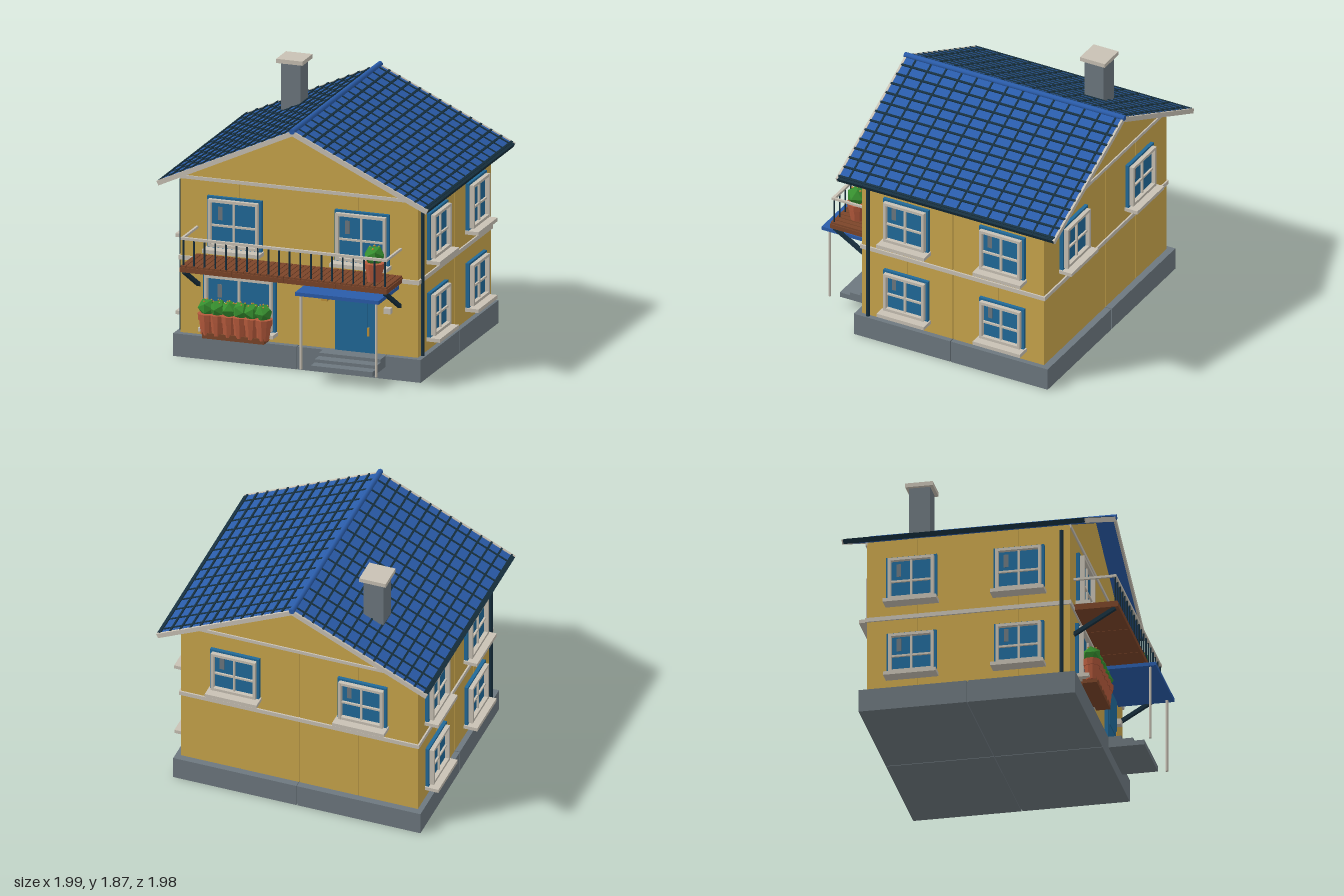
import * as THREE from 'three';

const mat = (name, color) => {
  const m = new THREE.MeshStandardMaterial({ color });
  m.name = name;
  return m;
};

export function createModel() {
  const WALL = mat('ochre wall', 0xcaa64c), TRIM = mat('pale trim', 0xc8c1b4), STONE = mat('grey stone', 0x6d787f);
  const ROOF = mat('roof blue', 0x2a5caa), BLUE = mat('window blue', 0x216a9a), DARK = mat('dark metal', 0x17303f);
  const WOOD = mat('brown wood', 0x7c4529), CLAY = mat('terracotta', 0xb65a3c), LEAF = mat('leaf green', 0x37902f);
  const GOLD = mat('brass yellow', 0xc0923a);

  const house = new THREE.Group();
  house.name = 'house';

  const add = (parent, name, geo, material, x = 0, y = 0, z = 0) => {
    const mesh = new THREE.Mesh(geo, material);
    mesh.name = name;
    mesh.position.set(x, y, z);
    parent.add(mesh);
    return mesh;
  };
  // box given by its lower and upper corner
  const box = (parent, name, material, x0, x1, y0, y1, z0, z1) =>
    add(parent, name, new THREE.BoxGeometry(x1 - x0, y1 - y0, z1 - z0), material, (x0 + x1) / 2, (y0 + y1) / 2, (z0 + z1) / 2);
  const group = (parent, name, x = 0, y = 0, z = 0) => {
    const g = new THREE.Group();
    g.name = name;
    g.position.set(x, y, z);
    parent.add(g);
    return g;
  };
  const faceted = (geo) => {
    const g = geo.index ? geo.toNonIndexed() : geo;
    g.computeVertexNormals();
    return g;
  };

  const W = 0.87, ZF = 0.59, ZB = -0.835, ZC = (ZF + ZB) / 2, D = (ZF - ZB) / 2;

  // Foundation: four blocks with narrow joints
  const base = group(house, 'foundation');
  for (const [x0, x1] of [[-0.908, -0.004], [0.004, 0.908]])
    for (const [z0, z1] of [[-0.885, -0.127], [-0.119, 0.635]])
      box(base, 'foundationBlock', STONE, x0, x1, 0, 0.163, z0, z1);
  box(base, 'foundationCore', STONE, -0.89, 0.89, 0.006, 0.157, -0.87, 0.62);

  // Wall core and gable
  const core = new THREE.Shape([[-0.862, 0.16], [0.862, 0.16], [0.862, 1.295], [0, 1.7], [-0.862, 1.295]].map(p => new THREE.Vector2(...p)));
  add(house, 'wallCore', new THREE.ExtrudeGeometry(core, { depth: 2 * D - 0.016, bevelEnabled: false }), WALL, 0, 0, ZB + 0.008);

  // Window: local x along the wall, z outwards
  const addWindow = (side, x, y0, y1, w) => {
    const g = group(side, 'window', x, (y0 + y1) / 2, 0);
    const h = y1 - y0, a = w / 2 - 0.017, b = h / 2 - 0.015, t = 0.02;
    box(g, 'windowCasing', BLUE, -w / 2, w / 2, -h / 2, h / 2, 0, 0.025);
    for (const s of [-1, 1]) {
      add(g, 'windowStile', new THREE.BoxGeometry(t, 2 * b, 0.032), TRIM, s * (a - t / 2), 0, 0.04);
      add(g, 'windowRail', new THREE.BoxGeometry(2 * a, t, 0.03), TRIM, 0, s * (b - t / 2), 0.04);
    }
    box(g, 'mullion', TRIM, -0.007, 0.007, -b, b, 0.024, 0.04);
    box(g, 'glazingBar', TRIM, -a, a, -0.025, -0.011, 0.024, 0.039);
    box(g, 'glassGlint', STONE, -w * 0.3, -w * 0.3 + 0.033, 0.02, 0.115, 0.024, 0.027);
    box(g, 'windowSill', TRIM, -w / 2 - 0.01, w / 2 + 0.01, -h / 2 - 0.022, -h / 2 + 0.004, 0, 0.1);
  };

  // Each side: panels with joints, storey bands and windows [x, bottom, top, width]
  const pair = (y0, y1, w, xs) => xs.map(x => [x, y0, y1, w]);
  const sideWindows = (s) => [...pair(0.81, 1.15, 0.355, [-0.36 * s, 0.393 * s]), ...pair(0.255, 0.577, 0.35, [-0.36 * s, 0.393 * s])];
  const sides = [
    ['frontWall', 0, ZF, 0, W, [...pair(0.8, 1.17, 0.4, [-0.4675, 0.4675]), [-0.43, 0.235, 0.625, 0.53]]],
    ['backWall', 0, ZB, Math.PI, W, pair(0.81, 1.15, 0.36, [-0.4675, 0.4675])],
    ['leftWall', W, ZC, Math.PI / 2, D, sideWindows(1)],
    ['rightWall', -W, ZC, -Math.PI / 2, D, sideWindows(-1)],
  ];
  for (const [name, x, z, turn, half, windows] of sides) {
    const side = group(house, name, x, 0, z);
    side.rotation.y = turn;
    for (let i = 0; i < 4; i++)
      for (const [y0, y1] of [[0.163, 0.7], [0.706, 1.285]]) {
        const x0 = -half + i * half / 2;
        box(side, 'wallPanel', WALL, x0 + (i ? 0.003 : 0), x0 + half / 2 - (i < 3 ? 0.003 : 0), y0, y1, -0.012, 0);
      }
    box(side, 'storeyBand', TRIM, -half - 0.01, half + 0.01, 0.687, 0.717, -0.01, 0.012);
    if (half === W) {
      box(side, 'gableBand', TRIM, -half, half, 1.27, 1.294, -0.01, 0.01);
      const gable = new THREE.Shape([new THREE.Vector2(-W, 1.29), new THREE.Vector2(W, 1.29), new THREE.Vector2(0, 1.7)]);
      add(side, 'gable', new THREE.ExtrudeGeometry(gable, { depth: 0.012, bevelEnabled: false }), WALL, 0, 0, -0.012);
    }
    windows.forEach(w => addWindow(side, ...w));
  }

  // Roof: two slopes with raised grid, barge boards and gutters
  const roof = group(house, 'roof');
  const angle = Math.atan(0.465), L = 1.09, zr0 = -0.975, zr1 = 0.72, zm = (zr0 + zr1) / 2, len = zr1 - zr0;
  for (const s of [-1, 1]) {
    const slope = group(roof, 'roofSlope', 0, 1.731, zm);
    slope.rotation.z = -s * angle;
    add(slope, 'roofSlab', new THREE.BoxGeometry(L, 0.026, len), ROOF, s * L / 2, -0.013, 0);
    for (let i = 1; i <= 13; i++)
      add(slope, 'tileRow', new THREE.BoxGeometry(0.015, 0.012, len), DARK, s * i * (L - 0.02) / 13, 0.002, 0);
    for (let i = 0; i < 14; i++)
      add(slope, 'tileColumn', new THREE.BoxGeometry(L, 0.009, 0.013), DARK, s * L / 2, 0.001, -0.927 - zm + i * 0.1205);
    for (const e of [-1, 1])
      add(slope, 'bargeBoard', new THREE.BoxGeometry(L + 0.008, 0.034, 0.016), TRIM, s * (L / 2 + 0.002), -0.013, e * (len / 2 + 0.002));
    add(slope, 'gutter', new THREE.BoxGeometry(0.022, 0.03, len), DARK, s * (L - 0.004), -0.012, 0);
  }
  const ridge = add(roof, 'ridgeCap', new THREE.CylinderGeometry(0.02, 0.02, len + 0.03, 10), ROOF, 0, 1.732, zm);
  ridge.rotation.x = Math.PI / 2;

  // Chimney
  box(house, 'chimney', STONE, -0.531, -0.386, 1.4, 1.838, -0.61, -0.462);
  box(house, 'chimneyCap', TRIM, -0.556, -0.362, 1.835, 1.865, -0.632, -0.438);

  // Downpipes
  for (const s of [-1, 1])
    add(house, 'downpipe', new THREE.CylinderGeometry(0.014, 0.014, 1.08, 8), DARK, s * 0.886, 0.705, 0.535);

  // Balcony: deck, planks, railing and braces
  const balcony = group(house, 'balcony');
  for (let i = 0; i < 4; i++)
    box(balcony, 'deckBeam', WOOD, -0.762 + i * 0.381 + 0.002, -0.381 + i * 0.381 - 0.002, 0.694, 0.727, 0.59, 0.905);
  for (let i = 0; i < 36; i++)
    box(balcony, 'deckPlank', WOOD, -0.756 + i * 0.042 + 0.003, -0.714 + i * 0.042 - 0.003, 0.725, 0.74, 0.59, 0.9);
  box(balcony, 'topRail', TRIM, -0.757, 0.757, 0.922, 0.94, 0.872, 0.892);
  for (let i = 0; i < 20; i++)
    add(balcony, 'baluster', new THREE.CylinderGeometry(0.0065, 0.0065, 0.19, 6), DARK, -0.74 + i * 1.48 / 19, 0.83, 0.882);
  for (const s of [-1, 1]) {
    add(balcony, 'sideRail', new THREE.BoxGeometry(0.016, 0.016, 0.29), TRIM, s * 0.747, 0.931, 0.737);
    const brace = add(balcony, 'brace', new THREE.BoxGeometry(0.026, 0.026, 0.34), DARK, s * 0.737, 0.606, 0.735);
    brace.rotation.x = -Math.atan2(0.17, 0.285);
  }

  // Potted plants: radius r, pot height h
  const addPlant = (parent, x, y, z, r, h, turn) => {
    const g = group(parent, 'pottedPlant', x, y, z);
    g.rotation.y = turn;
    add(g, 'pot', faceted(new THREE.CylinderGeometry(r * 0.9, r * 0.72, h * 0.7, 10)), CLAY, 0, h * 0.35, 0);
    add(g, 'potRim', faceted(new THREE.CylinderGeometry(r * 1.08, r * 1.02, h * 0.32, 10)), CLAY, 0, h * 0.84, 0);
    const bush = add(g, 'foliage', new THREE.IcosahedronGeometry(r * 1.1, 0), LEAF, 0, h + r * 0.72, 0);
    bush.scale.y = 0.95;
    for (let i = 0; i < 4; i++) {
      const a = i * 1.9, d = i ? r * 0.55 : 0;
      add(g, 'flower', new THREE.OctahedronGeometry(r * 0.15, 0), GOLD, d * Math.cos(a), h + r * (i ? 1.5 : 1.7), d * Math.sin(a));
    }
  };
  addPlant(house, 0.617, 0.738, 0.765, 0.07, 0.133, 0.4);

  // Window planter
  const planter = group(house, 'windowPlanter');
  box(planter, 'planterShelf', WOOD, -0.66, -0.205, 0.182, 0.222, 0.635, 0.735);
  box(planter, 'planterSupport', WOOD, -0.62, -0.245, 0.19, 0.215, 0.59, 0.64);
  for (let i = 0; i < 6; i++) addPlant(planter, -0.637 + i * 0.0825, 0.205, 0.695, 0.06, 0.15, i * 0.9);

  // Door with raised panel and handle
  const door = group(house, 'door');
  box(door, 'doorLeaf', BLUE, 0.273, 0.567, 0.163, 0.605, 0.585, 0.615);
  box(door, 'doorPanel', BLUE, 0.326, 0.513, 0.32, 0.55, 0.61, 0.62);
  box(door, 'doorHandle', GOLD, 0.513, 0.526, 0.29, 0.35, 0.614, 0.632);

  // Lamp and letter box beside the door
  box(house, 'wallLamp', GOLD, 0.182, 0.226, 0.515, 0.578, 0.585, 0.645);
  box(house, 'letterBox', TRIM, 0.632, 0.684, 0.465, 0.505, 0.585, 0.63);

  // Porch canopy on two slim posts
  box(house, 'canopy', ROOF, 0.118, 0.73, 0.64, 0.666, 0.588, 0.985);
  for (const x of [0.145, 0.697])
    add(house, 'canopyPost', new THREE.CylinderGeometry(0.01, 0.01, 0.54, 8), TRIM, x, 0.374, 0.94);

  // Entrance steps
  [[0.085, 0.12, 0.888], [0.11, 0.143, 0.808], [0.135, 0.166, 0.725]].forEach(([y0, y1, z]) =>
    box(house, 'step', STONE, 0.195, 0.648, y0, y1, 0.6, z));

  return house;
}
